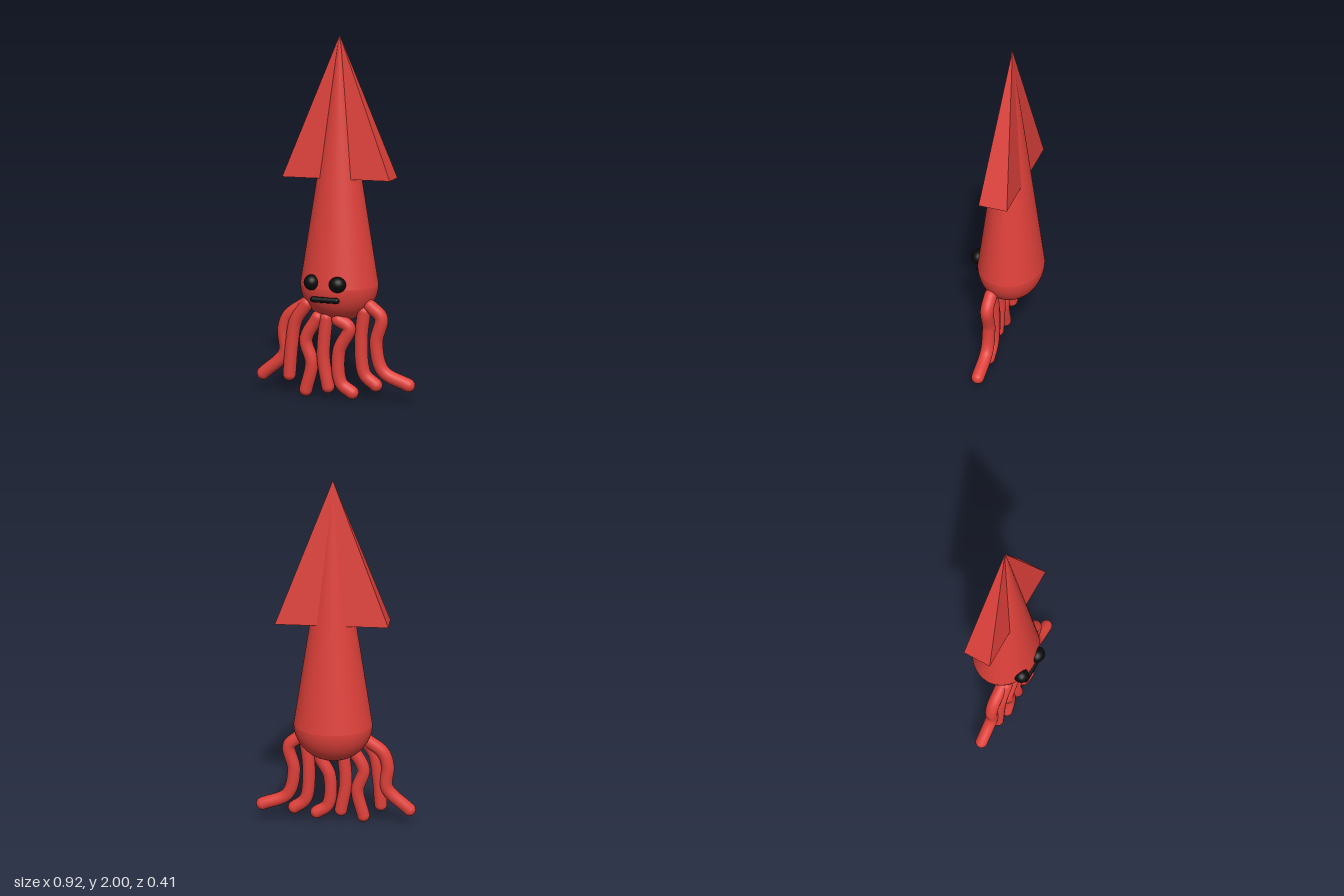
import * as THREE from 'three';

export function createModel() {
  const group = new THREE.Group();
  const red = new THREE.MeshStandardMaterial({ color: 0xde403a });
  red.name = 'squid red';
  const black = new THREE.MeshStandardMaterial({ color: 0x0b0b0b });
  black.name = 'face black';

  const add = (name, geometry, material, x = 0, y = 0, z = 0, parent = group) => {
    const mesh = new THREE.Mesh(geometry, material);
    mesh.name = name;
    mesh.position.set(x, y, z);
    parent.add(mesh);
    return mesh;
  };

  // Mantle: tall oval cone closed by a rounded underside
  const CX = 0.005, CZ = -0.017, BASE = 0.64, TOP = 2;
  const cone = new THREE.ConeGeometry(1, TOP - BASE, 64, 1, true);
  add('mantle', cone, red, CX, (BASE + TOP) / 2, CZ).scale.set(0.22, 1, 0.186);
  const bowl = new THREE.SphereGeometry(1, 64, 20, 0, Math.PI * 2, Math.PI / 2, Math.PI / 2);
  add('underside', bowl, red, CX, BASE, CZ).scale.set(0.22, 0.21, 0.186);

  // Fins: one flat four-sided pyramid through the mantle, sharing its tip
  const FIN = 1.23;
  const pyramid = new THREE.ConeGeometry(Math.SQRT2, TOP - FIN, 4, 1).toNonIndexed();
  pyramid.rotateY(Math.PI / 4);
  pyramid.scale(0.306, 1, 0.078);
  pyramid.computeVertexNormals();
  add('fins', pyramid, red, CX, (FIN + TOP) / 2, -0.021);

  // Eyes and mouth
  add('rightEye', new THREE.SphereGeometry(0.043, 32, 20), black, -0.102, 0.67, 0.142);
  add('leftEye', new THREE.SphereGeometry(0.043, 32, 20), black, 0.052, 0.67, 0.161).scale.x = 1.1;
  const mouth = add('mouth', new THREE.CapsuleGeometry(0.016, 0.134, 8, 16), black, -0.02, 0.581, 0.163);
  mouth.rotation.z = Math.PI / 2;

  // Tentacles: depth and bend points (x, y), each lying in one plane
  const R = 0.037;
  const tentacles = [
    { z: 0.053, path: [[-0.165, 0.53], [-0.27, 0.45], [-0.298, 0.37], [-0.295, 0.235], [-0.425, 0.105]] },
    { z: 0.073, path: [[-0.155, 0.53], [-0.22, 0.43], [-0.246, 0.28], [-0.26, 0.12]] },
    { z: 0.08, path: [[-0.09, 0.46], [-0.158, 0.33], [-0.125, 0.2], [-0.16, 0.042]] },
    { z: 0.08, path: [[-0.04, 0.46], [-0.056, 0.24], [-0.03, 0.072]] },
    { z: 0.08, path: [[0.03, 0.455], [0.092, 0.415], [0.035, 0.28], [0.046, 0.1], [0.111, 0.05]] },
    { z: 0.04, path: [[0.165, 0.5], [0.15, 0.34], [0.17, 0.15], [0.235, 0.093]] },
    { z: 0.037, path: [[0.2, 0.535], [0.262, 0.475], [0.235, 0.33], [0.275, 0.175], [0.42, 0.108]] },
  ];
  tentacles.forEach(({ z, path }, i) => {
    const arm = new THREE.Group();
    arm.name = `tentacle${i + 1}`;
    group.add(arm);
    const points = path.map(([x, y]) => new THREE.Vector3(x, y, z));
    const curve = new THREE.CatmullRomCurve3(points);
    add('arm', new THREE.TubeGeometry(curve, 48, R, 20), red, 0, 0, 0, arm);
    // Rounded ends
    for (const [name, p] of [['root', points[0]], ['tip', points[points.length - 1]]]) {
      add(name, new THREE.SphereGeometry(R, 20, 14), red, p.x, p.y, p.z, arm);
    }
  });

  return group;
}
